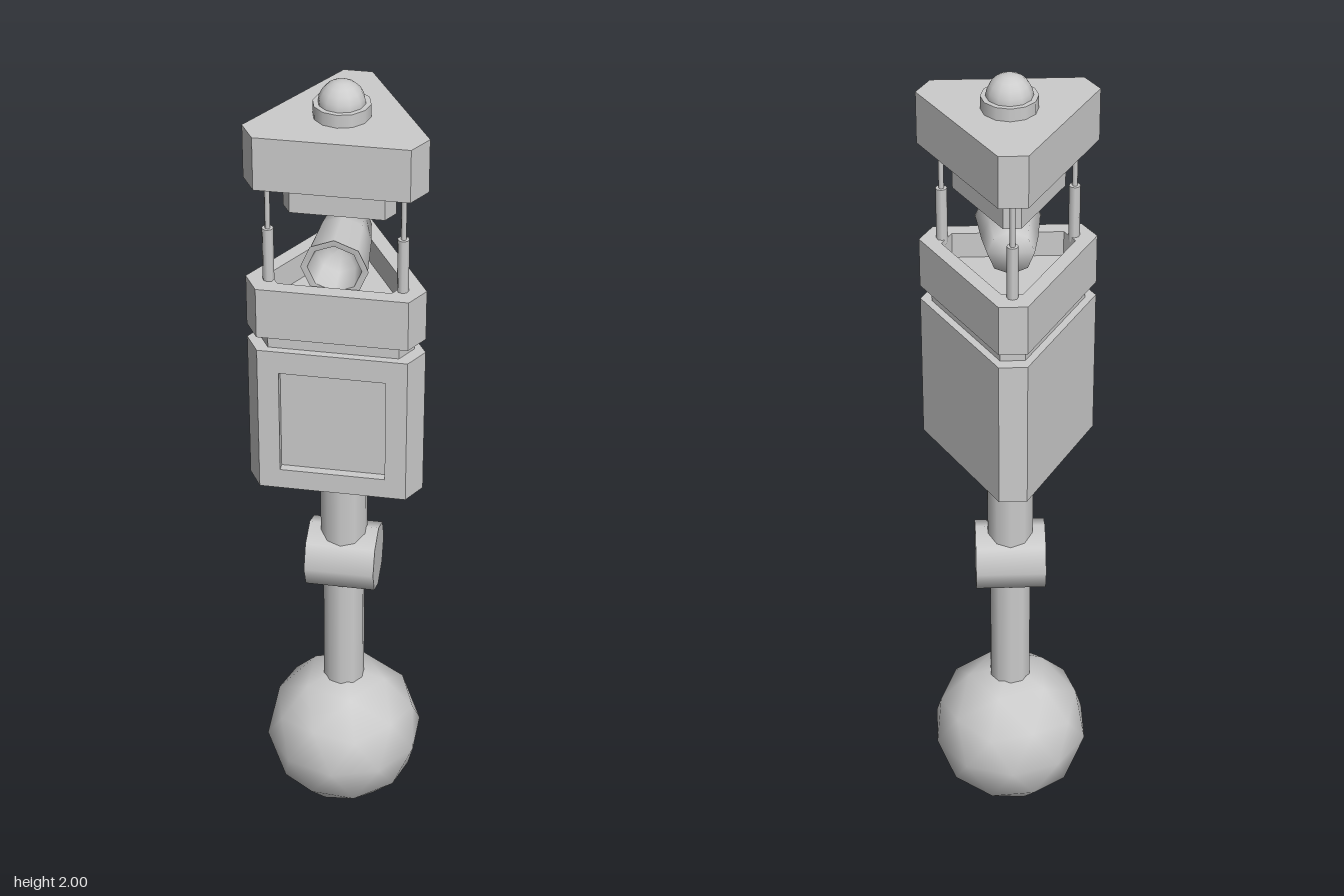
import * as THREE from 'three';

const AXIS_Z = 0.028; // the triangular parts share this vertical axis

// Triangle with cut corners, as [x, z] pairs, scaled about its axis
function triangle(scale = 1) {
  return [[-0.168, 0.162], [0.168, 0.162], [0.2, 0.108], [0.032, -0.183], [-0.032, -0.183], [-0.2, 0.108]]
    .map(([x, z]) => new THREE.Vector2(x * scale, -(AXIS_Z + (z - AXIS_Z) * scale)));
}

// Upright prism from an outline, with an optional hole
function prism(outline, y0, y1, hole) {
  const shape = new THREE.Shape(outline);
  if (hole) shape.holes.push(new THREE.Path(hole));
  const g = new THREE.ExtrudeGeometry(shape, { depth: y1 - y0, bevelEnabled: false });
  return g.rotateX(-Math.PI / 2).translate(0, y0, 0);
}

// Low-poly ball with a vertex at each pole
function ball(radius) {
  return new THREE.IcosahedronGeometry(radius, 1)
    .rotateX(-Math.atan((1 + Math.sqrt(5)) / 2)).rotateY(Math.PI / 2);
}

export function createModel() {
  const grey = new THREE.MeshStandardMaterial({ color: 0xcccccc });
  grey.name = 'plainGrey';
  const model = new THREE.Group();
  model.name = 'model';

  function add(name, geometry, x = 0, y = 0, z = 0, parent = model) {
    const mesh = new THREE.Mesh(geometry, grey);
    mesh.name = name;
    mesh.position.set(x, y, z);
    parent.add(mesh);
    return mesh;
  }
  const rod = (name, rTop, rBottom, y0, y1, sides, x = 0, z = 0, parent = model) =>
    add(name, new THREE.CylinderGeometry(rTop, rBottom, y1 - y0, sides), x, (y0 + y1) / 2, z, parent);

  // Base ball, stem, cross joint and socket
  add('baseBall', ball(0.193), 0, 0.193, 0);
  rod('lowerStem', 0.05, 0.05, 0.34, 0.7, 10);
  const joint = new THREE.CylinderGeometry(0.083, 0.083, 0.166, 8).rotateZ(Math.PI / 2);
  add('crossJoint', joint, 0, 0.738, 0);
  rod('upperStem', 0.056, 0.056, 0.77, 1.02, 10);
  add('socketBall', ball(0.095), 0, 1.055, 0);

  // Body in three layers, the middle one notched to form the front panel recess
  const body = new THREE.Group();
  body.name = 'body';
  model.add(body);
  const notched = triangle();
  notched.splice(1, 0,
    new THREE.Vector2(-0.12, -0.162), new THREE.Vector2(-0.12, -0.142),
    new THREE.Vector2(0.12, -0.142), new THREE.Vector2(0.12, -0.162));
  add('bodyBottom', prism(triangle(), 1.03, 1.08), 0, 0, 0, body);
  add('bodyPanel', prism(notched, 1.08, 1.34), 0, 0, 0, body);
  add('bodyTop', prism(triangle(), 1.34, 1.396), 0, 0, 0, body);

  // Neck and hollow collar
  add('neck', prism(triangle(0.87), 1.396, 1.43));
  add('collarFloor', prism(triangle(), 1.43, 1.49));
  add('collarRim', prism(triangle(), 1.49, 1.552, triangle(0.75)));

  // Tapered lamp barrel with an open front, tipped slightly down
  const profile = [
    [0, -0.095], [0.052, -0.095], [0.063, -0.02], [0.073, 0.09], [0.075, 0.09],
    [0.06, 0.09], [0.06, 0.088], [0.05, 0.03], [0.03, 0.01], [0, 0.004],
  ].map(([r, y]) => new THREE.Vector2(r, y));
  const barrel = new THREE.LatheGeometry(profile, 8).rotateX(Math.PI / 2);
  add('lampBarrel', barrel, 0, 1.605, 0.036).rotation.x = 0.08;

  // Three stepped posts at the corners
  for (const [name, x, z] of [['leftPost', 0.148, 0.113], ['rightPost', -0.148, 0.113], ['backPost', 0, -0.142]]) {
    const post = new THREE.Group();
    post.name = name;
    model.add(post);
    rod('sleeve', 0.013, 0.013, 1.54, 1.68, 8, x, z, post);
    rod('pin', 0.006, 0.006, 1.67, 1.8, 8, x, z, post);
  }

  // Cap with an underside block, ring and dome
  add('capBlock', prism(triangle(0.62), 1.71, 1.8), 0, 0, -0.018);
  add('cap', prism(triangle(), 1.796, 1.92));
  rod('domeRing', 0.063, 0.063, 1.92, 1.95, 12, 0, AXIS_Z);
  const dome = new THREE.SphereGeometry(0.052, 12, 5, 0, Math.PI * 2, 0, Math.PI / 2);
  add('dome', dome, 0, 1.948, AXIS_Z);

  return model;
}
